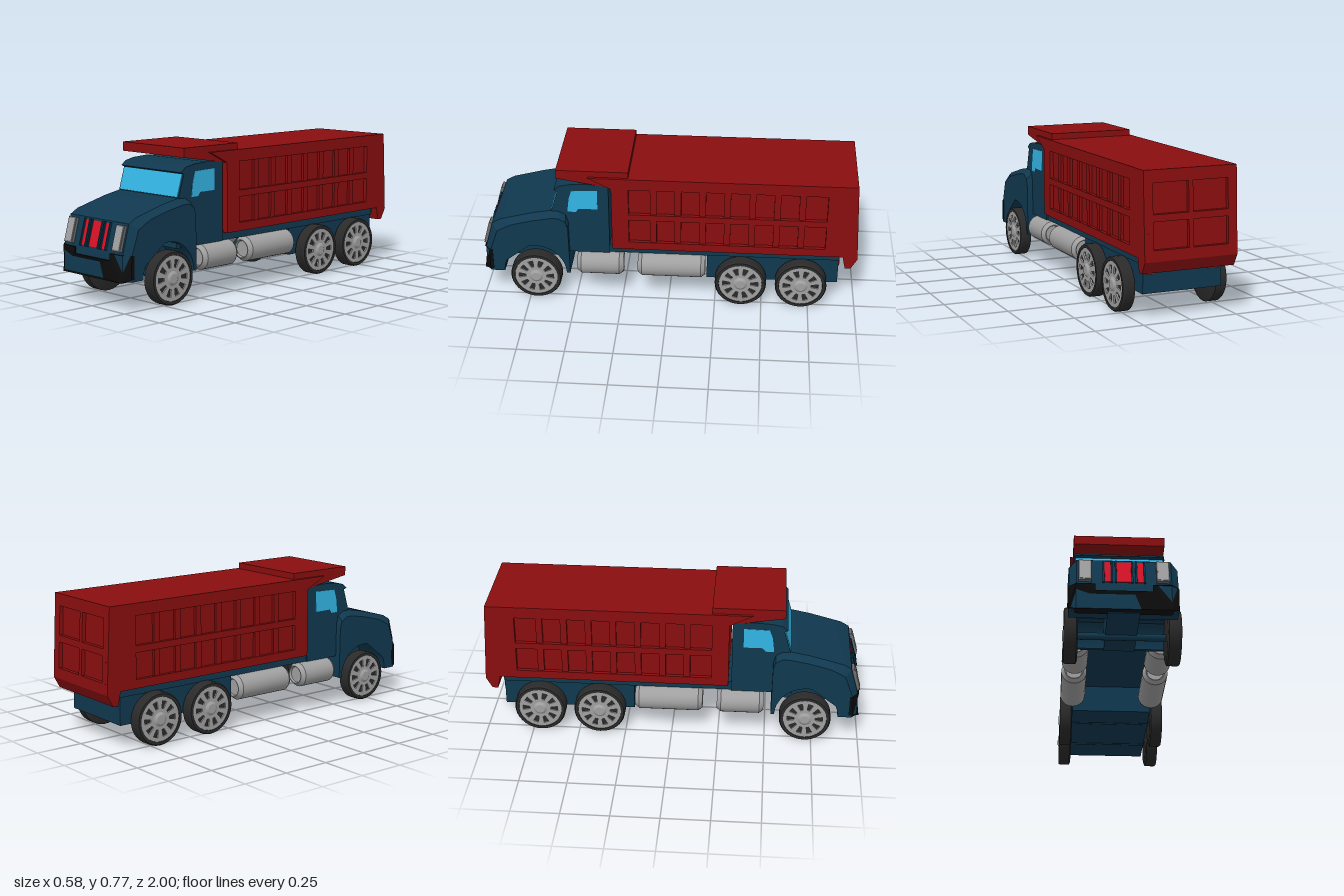
import * as THREE from 'three';
import { toCreasedNormals } from 'three/addons/utils/BufferGeometryUtils.js';

const mat = (name, color, double) => {
  const m = new THREE.MeshStandardMaterial({ color });
  m.name = name;
  if (double) m.side = THREE.DoubleSide;
  return m;
};
const blue = mat('cab blue', 0x10384f);
const red = mat('bed red', 0x890e0f);
const brightRed = mat('signal red', 0xd61125);
const glass = mat('window blue', 0x33b5e5);
const black = mat('bumper black', 0x0c0c0c);
const rubber = mat('tyre rubber', 0x2a2a2a);
const silver = mat('silver', 0xa0a0a0);
const darkSilver = mat('dark silver', 0x6c6c6c);

const add = (parent, name, geo, material, x = 0, y = 0, z = 0) => {
  const m = new THREE.Mesh(geo, material);
  m.name = name;
  m.position.set(x, y, z);
  parent.add(m);
  return m;
};
const box = (w, h, d) => new THREE.BoxGeometry(w, h, d);
const shapeOf = (pts) => new THREE.Shape(pts.map(([a, b]) => new THREE.Vector2(a, b)));
const rect = (a0, a1, b0, b1) => shapeOf([[a0, b0], [a1, b0], [a1, b1], [a0, b1]]);
const extrude = (shape, depth, steps = 1) =>
  new THREE.ExtrudeGeometry(shape, { depth, steps, bevelEnabled: false, curveSegments: 24 });

// Side profile given as (z, y), swept across the width and centred on x = 0
const prism = (shape, width, steps = 1) =>
  extrude(shape, width, steps).translate(0, 0, -width / 2).rotateY(-Math.PI / 2);

// Move every vertex by a rule, then rebuild normals
const reshape = (geo, rule) => {
  const p = geo.attributes.position, v = new THREE.Vector3();
  for (let i = 0; i < p.count; i++) {
    rule(v.fromBufferAttribute(p, i));
    p.setXYZ(i, v.x, v.y, v.z);
  }
  geo.computeVertexNormals();
  return geo;
};

function buildCab(truck) {
  const cab = new THREE.Group();
  cab.name = 'cab';
  truck.add(cab);

  // Hood and fenders with wheel arch, chamfered along the outer edges
  const s = shapeOf([[0.53, 0.15], [0.533, 0.46], [0.545, 0.5], [0.58, 0.521], [0.62, 0.522], [0.72, 0.503],
    [0.83, 0.474], [0.9, 0.455], [0.943, 0.43], [0.985, 0.28], [0.988, 0.15], [0.885, 0.15]]);
  s.absarc(0.717, 0.15, 0.168, 0, Math.PI, false);
  const hood = reshape(prism(s, 0.522, 3), (v) => {
    const outer = Math.abs(v.x) > 0.2;
    v.x = Math.sign(v.x) * (outer ? 0.261 : 0.226);
    if (!outer) return;
    if (v.y > 0.4) v.y -= 0.03;
    if (v.z > 0.89) v.z -= 0.03;
  });
  add(cab, 'hood', toCreasedNormals(hood, 0.4), blue);

  // Cabin with roof visor
  const cabin = shapeOf([[0.316, 0.27], [0.64, 0.27], [0.62, 0.524], [0.585, 0.64], [0.603, 0.648],
    [0.575, 0.672], [0.52, 0.684], [0.43, 0.689], [0.316, 0.68]]);
  add(cab, 'cabin', toCreasedNormals(prism(cabin, 0.458), 0.35), blue);

  // Windows
  add(cab, 'windshield', box(0.442, 0.117, 0.008), glass, 0, 0.582, 0.603).rotation.x = -0.295;
  const side = shapeOf([[0.525, 0.6], [0.51, 0.648], [0.375, 0.652], [0.375, 0.54], [0.475, 0.54],
    [0.49, 0.52], [0.535, 0.52]]);
  for (const k of [1, -1]) add(cab, 'sideWindow', prism(side, 0.006), glass, k * 0.228);

  // Sloped nose with headlights and grille slats
  const nose = new THREE.Group();
  nose.name = 'nose';
  nose.position.set(0, 0.356, 0.9635);
  nose.rotation.x = -0.273;
  cab.add(nose);
  for (const k of [1, -1]) {
    add(nose, 'headlightFrame', box(0.062, 0.13, 0.03), darkSilver, k * 0.185);
    add(nose, 'headlight', box(0.05, 0.114, 0.036), silver, k * 0.185);
    add(nose, 'grilleSlat', box(0.027, 0.13, 0.008), brightRed, k * 0.078);
  }
  add(nose, 'grilleCentre', box(0.068, 0.13, 0.008), brightRed);
  for (const x of [-0.098, -0.058, -0.039, 0.039, 0.058, 0.098])
    add(nose, 'grilleRail', box(0.008, 0.14, 0.02), blue, x);

  // Bumper with a central notch and swept corners
  const half = [[0.135, 0.245], [0.135, 0.28], [0.225, 0.281], [0.263, 0.28], [0.263, 0.163], [0.225, 0.145]];
  const outline = [...half, ...half.map(([x, y]) => [-x, y]).reverse()];
  const bumper = reshape(extrude(shapeOf(outline), 0.055), (v) => {
    const front = v.z > 0.01;
    v.z += 0.943;
    if (front && Math.abs(v.x) > 0.25) v.z -= 0.034;
    if (front && v.y > 0.2) v.z -= 0.006;
  });
  add(cab, 'bumper', bumper, black);
}

function buildBed(truck) {
  const bed = new THREE.Group();
  bed.name = 'bed';
  truck.add(bed);

  // Closed load body
  const core = shapeOf([[0.42, 0.737], [0.3, 0.675], [0.3, 0.31], [-0.92, 0.31], [-0.935, 0.24],
    [-0.965, 0.24], [-0.998, 0.3], [-0.978, 0.302], [-0.955, 0.737]]);
  add(bed, 'bedBody', prism(core, 0.456), red);

  // Side skins with two recessed rows, divided by ribs
  const rows = [[0.355, 0.49], [0.525, 0.675]];
  const skin = shapeOf([[0.42, 0.737], [0.3, 0.675], [0.3, 0.31], [-0.92, 0.31], [-0.935, 0.24],
    [-0.965, 0.24], [-0.998, 0.3], [-0.975, 0.737]]);
  for (const [y0, y1] of rows) skin.holes.push(rect(-0.825, 0.21, y0, y1));
  for (const k of [1, -1]) {
    add(bed, 'sideFrame', prism(skin, 0.02), red, k * 0.238);
    for (const [y0, y1] of rows)
      for (let i = 1; i < 8; i++)
        add(bed, 'sideRib', box(0.014, y1 - y0, 0.034), red, k * 0.235, (y0 + y1) / 2, 0.21 - i * 1.035 / 8);
  }

  // Leaning tailgate with four recessed panels
  const gate = rect(-0.228, 0.228, 0.3, 0.737);
  for (const [y0, y1] of rows) {
    gate.holes.push(rect(0.012, 0.2, y0, y1));
    gate.holes.push(rect(-0.2, -0.012, y0, y1));
  }
  const tail = reshape(extrude(gate, 0.02), (v) => { v.z += -0.975 - (0.737 - v.y) * 0.053; });
  add(bed, 'tailgate', tail, red);

  // Canopy over the cab
  const canopy = shapeOf([[0.588, 0.77], [0.21, 0.77], [0.21, 0.7], [0.3, 0.675], [0.588, 0.722]]);
  add(bed, 'canopy', prism(canopy, 0.467), red);
}

function buildChassis(truck) {
  add(truck, 'floor', box(0.44, 0.05, 1.225), blue, 0, 0.295, -0.2925);
  add(truck, 'rearFrame', box(0.426, 0.175, 0.7), blue, 0, 0.2125, -0.553);
  add(truck, 'frontFrame', box(0.155, 0.17, 0.42), blue, 0, 0.225, 0.755);
  for (const k of [1, -1])
    add(truck, 'tailLight', box(0.06, 0.03, 0.008), brightRed, k * 0.165, 0.235, -0.905);

  // Fuel tanks with chamfered, dished ends
  for (const [z0, z1] of [[0.242, 0.49], [-0.195, 0.165]]) {
    const r = 0.067, h = (z1 - z0) / 2;
    const pts = [[0, 0.012 - h], [0.042, 0.012 - h], [0.046, -h], [0.05, -h], [r, 0.022 - h],
      [r, h - 0.022], [0.05, h], [0.046, h], [0.042, h - 0.012], [0, h - 0.012]];
    const geo = toCreasedNormals(
      new THREE.LatheGeometry(pts.map(([a, b]) => new THREE.Vector2(a, b)), 24).rotateX(Math.PI / 2), 0.5);
    for (const k of [1, -1]) add(truck, 'fuelTank', geo, silver, k * 0.214, 0.204, (z0 + z1) / 2);
  }
}

function buildWheels(root) {
  const tyrePts = [[0, 0.215], [0.12, 0.215], [0.137, 0.222], [0.137, 0.274], [0.131, 0.283],
    [0.116, 0.283], [0.114, 0.27], [0, 0.27]];
  const tyre = toCreasedNormals(
    new THREE.LatheGeometry(tyrePts.map(([a, b]) => new THREE.Vector2(a, b)), 36).rotateZ(-Math.PI / 2), 0.5);

  // Rim disc pierced by ten wedge slots
  const disc = new THREE.Shape().absarc(0, 0, 0.115, 0, Math.PI * 2, false);
  for (let i = 0; i < 10; i++) {
    const a = i * Math.PI / 5;
    const at = (r, d) => [r * Math.cos(a + d), r * Math.sin(a + d)];
    disc.holes.push(shapeOf([at(0.056, -0.12), at(0.095, -0.15), at(0.095, 0.15), at(0.056, 0.12)]));
  }
  const rim = extrude(disc, 0.008).rotateY(Math.PI / 2).translate(0.272, 0, 0);
  const hub = new THREE.CylinderGeometry(0.024, 0.042, 0.012, 20).rotateZ(-Math.PI / 2).translate(0.283, 0, 0);
  const axle = new THREE.CylinderGeometry(0.018, 0.018, 0.44, 12).rotateZ(Math.PI / 2);

  for (const z of [0.712, -0.386, -0.707]) {
    add(root, 'axle', axle, blue, 0, 0.138, z);
    for (const k of [1, -1]) {
      const wheel = new THREE.Group();
      wheel.name = 'wheel';
      wheel.position.set(0, 0.138, z);
      if (k < 0) wheel.rotation.y = Math.PI;
      add(wheel, 'tyre', tyre, rubber);
      add(wheel, 'rim', rim, silver);
      add(wheel, 'hub', hub, silver);
      root.add(wheel);
    }
  }
}

export function createModel() {
  const root = new THREE.Group();
  root.name = 'dumpTruck';
  const body = new THREE.Group();
  body.name = 'body';
  body.position.x = -0.003;
  root.add(body);
  buildCab(body);
  buildBed(body);
  buildChassis(body);
  buildWheels(root);
  return root;
}
